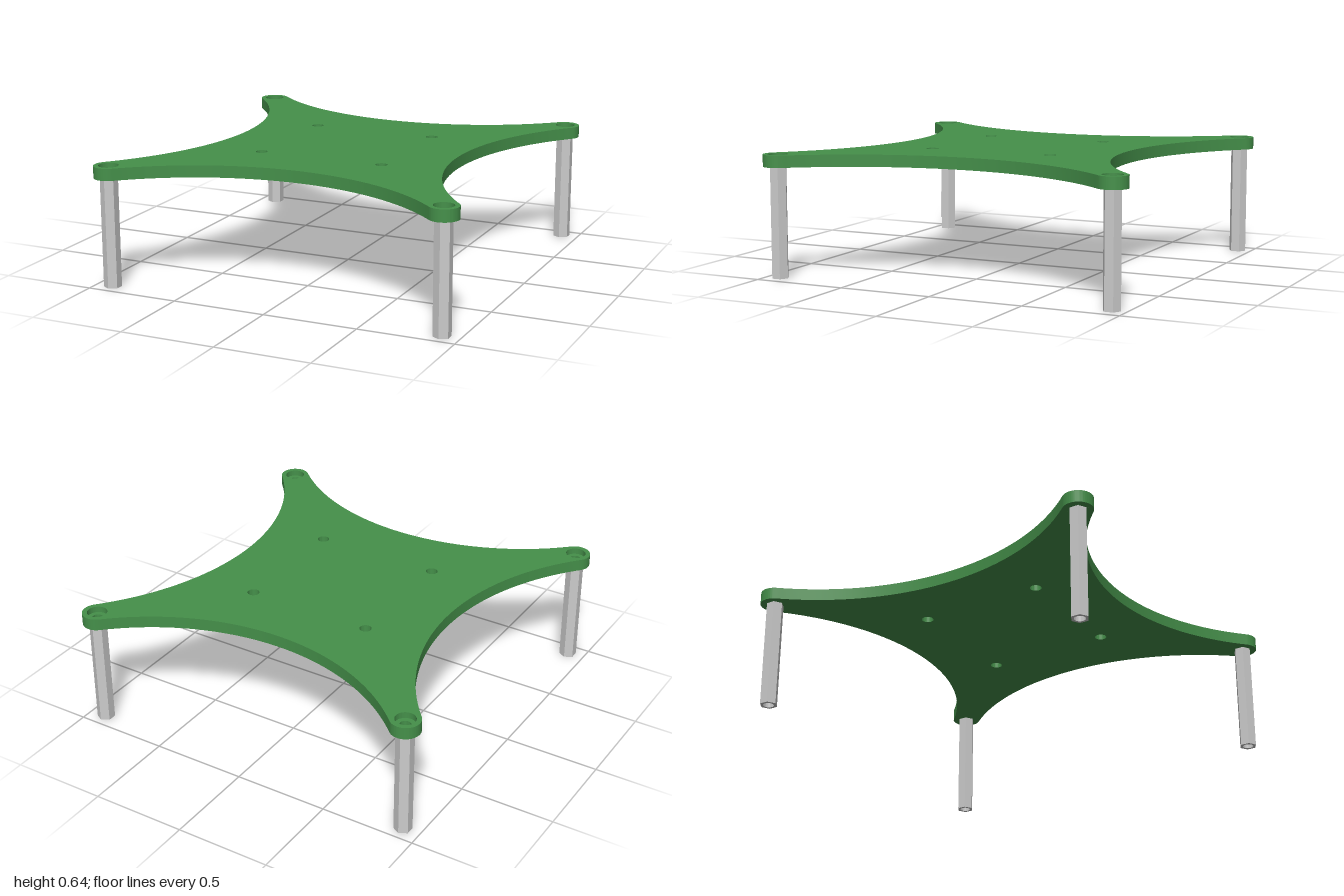
import * as THREE from 'three';
import { toCreasedNormals } from 'three/addons/utils/BufferGeometryUtils.js';

const CX = 0.907, CZ = 0.923, LOBE = 0.077;   // corner lobes
const WAIST = 0.632;                          // half width at the middle of each side
const Y0 = 0.577, Y1 = 0.64, SEAT = 0.608;    // plate bottom, top, counterbore floor
const BORE = 0.028, COUNTERBORE = 0.052;
const SIGNS = [[1, 1], [-1, 1], [-1, -1], [1, -1]];

// Extrude a shape upwards from y = 0
function extrudeUp(shape, depth, curveSegments, crease) {
  const g = new THREE.ExtrudeGeometry(shape, { depth, bevelEnabled: false, curveSegments });
  g.rotateX(-Math.PI / 2);
  return toCreasedNormals(g, crease);
}

function addHole(shape, x, y, r) {
  shape.holes.push(new THREE.Path().absarc(x, y, r, 0, Math.PI * 2, true));
}

// Radius of the concave arc that passes the waist and is tangent to the lobes
function arcRadius(along, across) {
  const d = across - WAIST;
  return (along * along + d * d - LOBE * LOBE) / (2 * (d + LOBE));
}

// Outline: rounded corner lobes joined by tangent concave arcs
function plateShape() {
  const rx = arcRadius(CZ, CX), rz = arcRadius(CX, CZ);
  const gaps = [
    [WAIST + rx, 0, rx], [0, WAIST + rz, rz],
    [-WAIST - rx, 0, rx], [0, -WAIST - rz, rz],
  ];
  const angle = (from, to) => Math.atan2(to[1] - from[1], to[0] - from[0]);
  const corners = SIGNS.map(([sx, sy]) => [sx * CX, sy * CZ]);
  const shape = new THREE.Shape();
  corners.forEach((c, i) => {
    const before = gaps[i], after = gaps[(i + 1) % 4], next = corners[(i + 1) % 4];
    shape.absarc(c[0], c[1], LOBE, angle(c, before), angle(c, after), false);
    shape.absarc(after[0], after[1], after[2], angle(after, c), angle(after, next), true);
  });
  for (const [sx, sy] of SIGNS) {
    addHole(shape, sx * CX, sy * CZ, COUNTERBORE);
    addHole(shape, sx * 0.34, sy * 0.34, 0.031);
  }
  return shape;
}

export function createModel() {
  const model = new THREE.Group();
  const green = new THREE.MeshStandardMaterial({ color: 0x45904a });
  const grey = new THREE.MeshStandardMaterial({ color: 0xcccccc });

  const add = (name, geometry, material, x, y, z) => {
    const mesh = new THREE.Mesh(geometry, material);
    mesh.name = name;
    mesh.position.set(x, y, z);
    model.add(mesh);
  };

  // Plate
  add('plate', extrudeUp(plateShape(), Y1 - Y0, 32, 0.6), green, 0, Y0, 0);

  // Counterbore floor with a smaller through hole
  const seatProfile = [
    [COUNTERBORE, SEAT], [BORE, SEAT], [BORE, Y0], [COUNTERBORE, Y0],
  ].map(([r, y]) => new THREE.Vector2(r, y));
  const seat = toCreasedNormals(new THREE.LatheGeometry(seatProfile, 48), 0.6);

  // Hollow hexagonal standoff, with corners pointing along z
  const hex = new THREE.Shape();
  for (let i = 0; i < 6; i++) {
    const a = Math.PI / 2 + i * Math.PI / 3;
    const x = 0.046 * Math.cos(a), y = 0.046 * Math.sin(a);
    if (i) hex.lineTo(x, y); else hex.moveTo(x, y);
  }
  hex.closePath();
  addHole(hex, 0, 0, BORE);
  const leg = extrudeUp(hex, Y0, 20, 0.6);

  for (const [sx, sz] of SIGNS) {
    const label = (sz > 0 ? 'front' : 'back') + (sx > 0 ? 'Left' : 'Right');
    add(label + 'ScrewSeat', seat, green, sx * CX, 0, sz * CZ);
    add(label + 'Leg', leg, grey, sx * CX, 0, sz * CZ);
  }
  return model;
}
